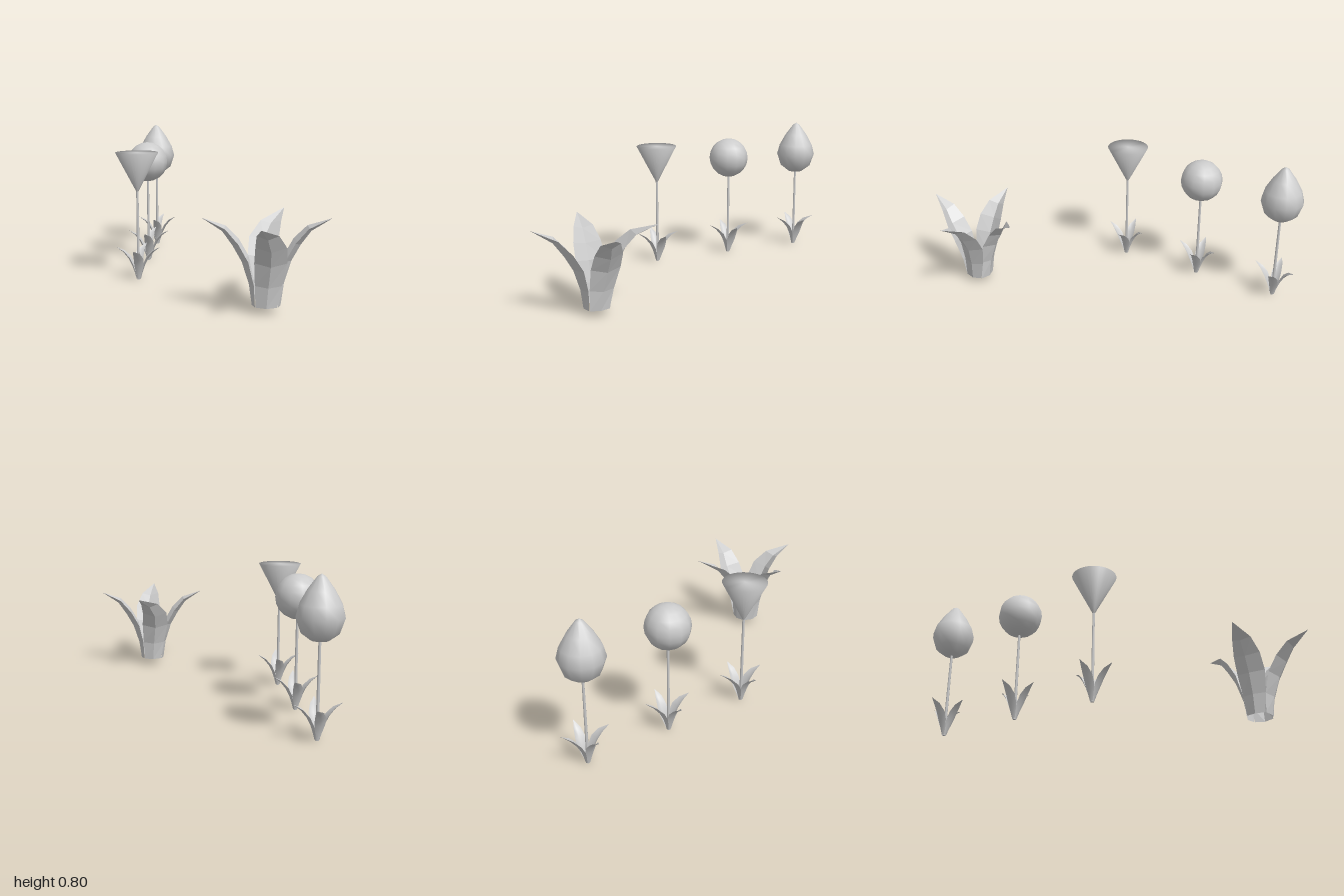
import * as THREE from 'three';

// midrib rows of a leaf: [distance outward, height, half width, fold depth]
const BIG_ROWS = [
  [0.07, 0.035, 0.052, 0.015], [0.085, 0.14, 0.064, 0.025], [0.12, 0.25, 0.078, 0.035],
  [0.165, 0.33, 0.074, 0.035], [0.215, 0.4, 0.052, 0.024], [0.315, 0.465, 0, 0],
];
const SMALL_ROWS = [
  [0.012, 0.003, 0.008, 0.004], [0.022, 0.04, 0.017, 0.008], [0.036, 0.08, 0.026, 0.012],
  [0.056, 0.12, 0.027, 0.013], [0.084, 0.155, 0.019, 0.009], [0.123, 0.185, 0, 0],
];
// sideways drift of the midrib, as shares of the belly and tip drift
const BELLY = [0, 0.4, 0.9, 1, 0.6, 0];
const TIP = [0, 0, 0, 0.05, 0.35, 1];
// four leaves: [heading, belly drift, tip drift]
const LEAVES = [
  [0, 0.02, -0.03], [Math.PI / 2, 0.03, 0.01],
  [Math.PI, 0.015, -0.095], [-Math.PI / 2, 0, 0],
];

function material(flat) {
  return new THREE.MeshStandardMaterial({
    color: 0xcccccc, flatShading: flat, side: THREE.DoubleSide,
  });
}

// Folded leaf: each row has a left edge, a midrib and a right edge
function leafGeometry(rows, belly, tip) {
  const pos = [], index = [];
  rows.forEach(([r, y, w, d], i) => {
    const a = rows[Math.max(i - 1, 0)], b = rows[Math.min(i + 1, rows.length - 1)];
    const len = Math.hypot(b[0] - a[0], b[1] - a[1]);
    const inR = -(b[1] - a[1]) / len, inY = (b[0] - a[0]) / len;
    const s = BELLY[i] * belly + TIP[i] * tip;
    pos.push(s - w, y + inY * d, r + inR * d, s, y, r, s + w, y + inY * d, r + inR * d);
    if (i === rows.length - 1) return;
    for (let c = 0; c < 2; c++) {
      const p = i * 3 + c, q = p + 3;
      if (i === rows.length - 2) index.push(p, p + 1, 3 * (i + 1) + 1);
      else index.push(p, p + 1, q + 1, p, q + 1, q);
    }
  });
  const g = new THREE.BufferGeometry();
  g.setAttribute('position', new THREE.Float32BufferAttribute(pos, 3));
  g.setIndex(index);
  g.computeVertexNormals();
  return g;
}

function leafCluster(name, rows, drift, flat) {
  const group = new THREE.Group();
  group.name = name;
  for (const [heading, belly, tip] of LEAVES) {
    const leaf = new THREE.Mesh(leafGeometry(rows, belly * drift, tip * drift), material(flat));
    leaf.name = 'leaf';
    leaf.rotation.y = heading;
    group.add(leaf);
  }
  return group;
}

function lathe(points, sides) {
  return new THREE.LatheGeometry(points.map(([x, y]) => new THREE.Vector2(x, y)), sides);
}

// Stem with a leaf cluster at its foot and a bloom on top
function flower(name, bloomGeometry, z) {
  const group = new THREE.Group();
  group.name = name;
  const stem = new THREE.Mesh(new THREE.CylinderGeometry(0.007, 0.009, 0.5, 6), material(false));
  stem.name = 'stem';
  stem.position.y = 0.25;
  const bloom = new THREE.Mesh(bloomGeometry, material(false));
  bloom.name = 'bloom';
  group.add(stem, bloom, leafCluster('stemLeaves', SMALL_ROWS, 0.35, false));
  group.position.set(-0.452, 0, z);
  return group;
}

export function createModel() {
  const model = new THREE.Group();
  model.name = 'flowerSet';

  // Cone bloom with a closed top
  const cone = lathe([[0, 0.487], [0.118, 0.715], [0, 0.715]], 32);
  // Round bloom
  const ball = new THREE.SphereGeometry(0.119, 12, 10).translate(0, 0.61, 0);
  // Pointed bud
  const bud = lathe([
    [0, 0.484], [0.045, 0.49], [0.092, 0.525], [0.118, 0.6], [0.102, 0.66],
    [0.066, 0.725], [0.02, 0.788], [0, 0.8],
  ], 12);

  model.add(
    flower('coneFlower', cone, 0.08),
    flower('ballFlower', ball, -0.4),
    flower('budFlower', bud, -0.88),
  );

  // Large free-standing leaves
  const plant = leafCluster('largeLeaves', BIG_ROWS, 1, true);
  plant.position.set(0.252, 0, 0.688);
  model.add(plant);
  return model;
}
